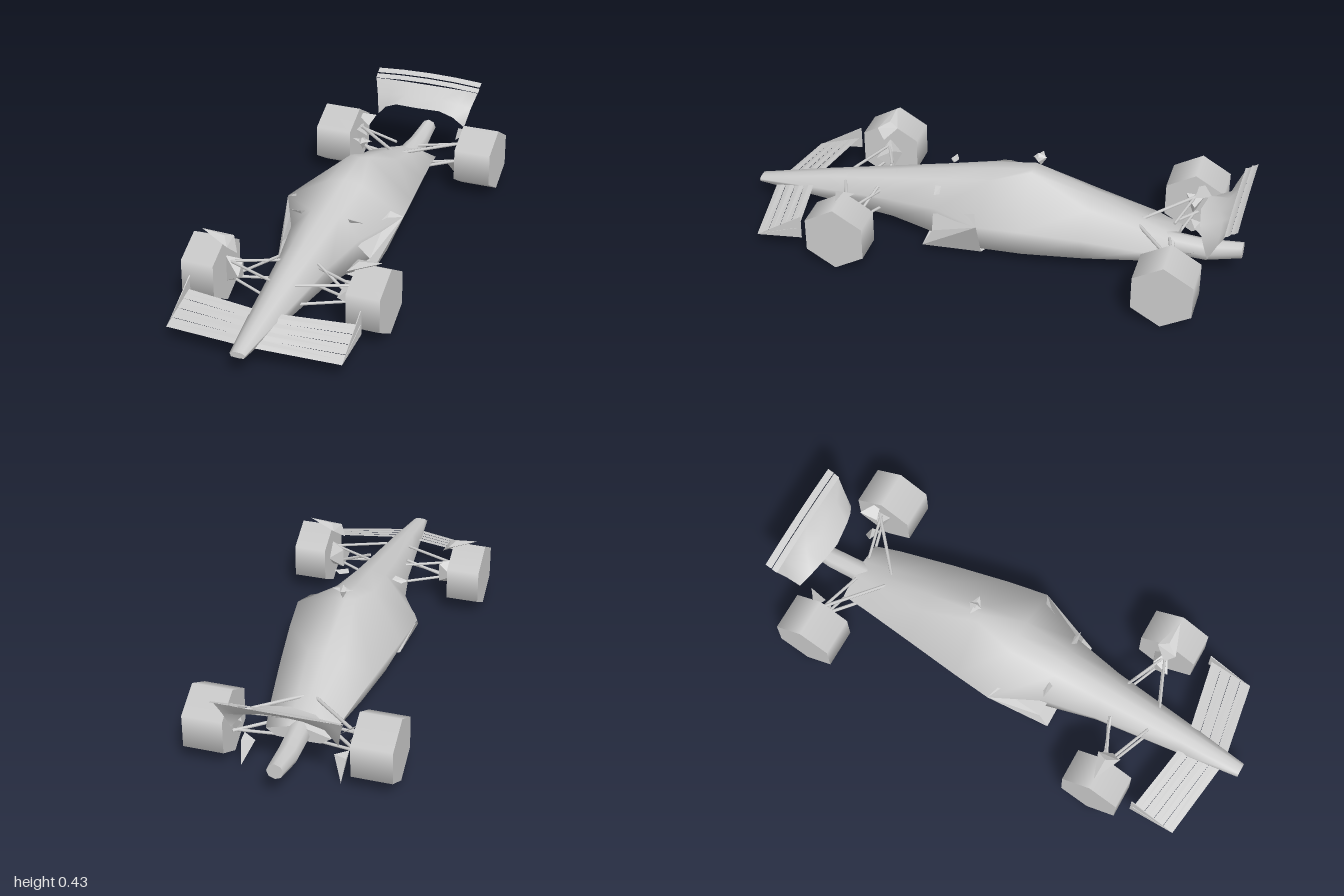
import * as THREE from 'three';
import { ConvexGeometry } from 'three/addons/geometries/ConvexGeometry.js';

const grey = new THREE.MeshStandardMaterial({ color: 0xcccccc, side: THREE.DoubleSide });
const flat = new THREE.MeshStandardMaterial({ color: 0xcccccc, side: THREE.DoubleSide, flatShading: true });

const V = (p) => new THREE.Vector3(...p);
const flip = (p) => [-p[0], p[1], p[2]];

function add(parent, name, geometry, material = grey) {
  const mesh = new THREE.Mesh(geometry, material);
  mesh.name = name;
  parent.add(mesh);
  return mesh;
}

// Surface through rows of points; closed rows wrap round and get end caps
function skin(rows, closed = false) {
  const n = rows[0].length, pos = rows.flat(2), idx = [];
  for (let i = 0; i < rows.length - 1; i++) {
    for (let j = 0; j < (closed ? n : n - 1); j++) {
      const a = i * n + j, b = i * n + (j + 1) % n, c = a + n, d = b + n;
      idx.push(a, b, c, b, d, c);
    }
  }
  if (closed) {
    for (const [row, front] of [[rows[0], true], [rows[rows.length - 1], false]]) {
      const s = pos.length / 3;
      pos.push(...row.flat());
      for (let j = 1; j < n - 1; j++) idx.push(s, s + (front ? j + 1 : j), s + (front ? j : j + 1));
    }
  }
  const g = new THREE.BufferGeometry();
  g.setAttribute('position', new THREE.Float32BufferAttribute(pos, 3));
  g.setIndex(idx);
  g.computeVertexNormals();
  return g;
}

function rod(parent, name, from, to, r = 0.006) {
  const a = V(from), b = V(to), dir = b.clone().sub(a);
  const m = add(parent, name, new THREE.CylinderGeometry(r, r, dir.length(), 6));
  m.position.copy(a).add(b).multiplyScalar(0.5);
  m.quaternion.setFromUnitVectors(new THREE.Vector3(0, 1, 0), dir.normalize());
}

// Mirrored sheet made from the half width, x from 0 outward
const mirrorRow = (row) => [...row.slice(1).reverse().map(flip), ...row];

export function createModel() {
  const car = new THREE.Group();
  car.name = 'openWheelRacer';

  // Body: z, top y, shoulder, widest point, bottom corner, bottom y
  const sections = [
    [1.0, 0.108, [0.018, 0.107], [0.03, 0.1], [0.025, 0.087], 0.085],
    [0.75, 0.168, [0.03, 0.163], [0.063, 0.13], [0.05, 0.082], 0.076],
    [0.4, 0.245, [0.05, 0.232], [0.105, 0.165], [0.08, 0.068], 0.064],
    [0.2, 0.287, [0.06, 0.272], [0.145, 0.185], [0.12, 0.05], 0.046],
    [0.0, 0.325, [0.07, 0.31], [0.247, 0.207], [0.17, 0.053], 0.05],
    [-0.16, 0.35, [0.038, 0.357], [0.225, 0.2], [0.165, 0.057], 0.055],
    [-0.4, 0.268, [0.07, 0.25], [0.185, 0.18], [0.14, 0.068], 0.066],
    [-0.63, 0.185, [0.045, 0.175], [0.145, 0.15], [0.11, 0.085], 0.08],
    [-0.74, 0.148, [0.035, 0.145], [0.125, 0.12], [0.085, 0.092], 0.09],
  ];
  add(car, 'body', skin(sections.map(([z, top, sh, wide, low, bottom]) => {
    const side = [sh, wide, low].map(([x, y]) => [x, y, z]);
    return [[0, top, z], ...side, [0, bottom, z], ...side.slice().reverse().map(flip)];
  }), true));

  // Tail pipe
  const tail = [[-0.65, 0.12, 0.045], [-0.86, 0.11, 0.042], [-1, 0.135, 0.032]];
  add(car, 'tailPipe', skin(tail.map(([z, y, r]) => Array.from({ length: 8 }, (_, k) => {
    const t = (k / 8) * Math.PI * 2;
    return [Math.sin(t) * r, y + Math.cos(t) * r, z];
  })), true));

  // Roof camera
  const cam = new THREE.Group();
  cam.name = 'roofCamera';
  car.add(cam);
  add(cam, 'cameraPod', new ConvexGeometry([
    [0, 0.375, -0.19], [0, 0.43, -0.18], [0.018, 0.412, -0.185], [-0.018, 0.412, -0.185],
    [0, 0.41, -0.16], [0, 0.415, -0.215]].map(V)), flat);
  add(cam, 'cameraWing', new ConvexGeometry([
    [0.042, 0.415, -0.19], [-0.042, 0.415, -0.19], [0, 0.413, -0.165], [0, 0.413, -0.21], [0, 0.418, -0.19]].map(V)), flat);

  // Rear wing: hollowed main plane and two arched flaps
  const rear = new THREE.Group();
  rear.name = 'rearWing';
  car.add(rear);
  add(rear, 'rearMainPlane', skin([
    [[0, 0.352, -0.96], [0.1, 0.352, -0.96], [0.18, 0.352, -0.958], [0.236, 0.35, -0.955]],
    [[0, 0.3, -0.9], [0.08, 0.31, -0.92], [0.16, 0.295, -0.925], [0.218, 0.29, -0.925]],
    [[0, 0.295, -0.825], [0.1, 0.29, -0.84], [0.155, 0.262, -0.86], [0.2, 0.21, -0.89]],
  ].map(mirrorRow)));
  for (const [y, z, depth] of [[0.353, -0.952, 0.022], [0.37, -0.975, 0.025]]) {
    const xs = [0, 0.12, 0.238];
    const edge = (dy, dz) => mirrorRow(xs.map((x) => [x, y + dy + 0.01 * (1 - (x / 0.238) ** 2), z + dz]));
    add(rear, 'rearFlap', skin([edge(0, 0), edge(0.003, -depth * 0.5), edge(0.012, -depth)]));
  }

  for (const s of [1, -1]) {
    const side = new THREE.Group();
    side.name = s > 0 ? 'leftSide' : 'rightSide';
    car.add(side);
    const M = (p) => [p[0] * s, p[1], p[2]];
    const solid = (name, pts) => add(side, name, new ConvexGeometry(pts.map((p) => V(M(p)))), flat);
    const sheet = (name, rows) => add(side, name, skin(rows.map((r) => r.map(M))), flat);
    const arm = (name, a, b, r) => rod(side, name, M(a), M(b), r);

    // Six-sided wheels, corner up
    for (const [name, x, z, width] of [['frontWheel', 0.331, 0.53, 0.132], ['rearWheel', 0.317, -0.762, 0.156]]) {
      const g = new THREE.CylinderGeometry(0.134, 0.134, width, 6, 1, false, Math.PI / 2);
      const wheel = add(side, name, g.rotateZ(Math.PI / 2));
      wheel.position.set(x * s, 0.144, z);
    }

    // Sidepod floor and flank with an open inlet
    sheet('sidepodFlank', [
      [[0.14, 0.16, 0.21], [0.185, 0.11, 0.2], [0.19, 0.037, 0.24]],
      [[0.2, 0.235, 0.02], [0.247, 0.207, 0], [0.18, 0.045, 0]],
    ]);
    sheet('sidepodFloor', [
      [[0.1, 0.045, 0.24], [0.19, 0.037, 0.24]],
      [[0.1, 0.05, -0.05], [0.18, 0.045, 0]],
    ]);

    // Mirror
    solid('mirror', [[0.09, 0.26, 0.19], [0.155, 0.258, 0.2], [0.1, 0.268, 0.21], [0.1, 0.25, 0.2], [0.13, 0.25, 0.185]]);

    // Front wing slats, swept back towards the tip
    for (let i = 0; i < 4; i++) {
      const z = 0.925 - i * 0.043, y = 0.088 + i * 0.012;
      const tipZ = 0.878 - i * 0.045, tipY = 0.066 + i * 0.016;
      sheet('frontWingSlat', [
        [[0.03, y, z], [0.345, tipY, tipZ]],
        [[0.03, y + 0.009, z - 0.02], [0.345, tipY + 0.007, tipZ - 0.02]],
        [[0.03, y + 0.013, z - 0.042], [0.345, tipY + 0.015, tipZ - 0.044]],
      ]);
    }
    solid('frontEndPlate', [[0.344, 0.062, 0.88], [0.344, 0.085, 0.688], [0.342, 0.182, 0.688], [0.34, 0.085, 0.69], [0.338, 0.18, 0.69]]);

    // Front suspension and upright
    for (const [y, innerY] of [[0.18, 0.18], [0.115, 0.1]]) {
      arm('frontWishbone', [0.25, y, 0.53], [0.05, innerY, 0.61]);
      arm('frontWishbone', [0.25, y, 0.53], [0.07, innerY, 0.45]);
    }
    arm('frontPushrod', [0.25, 0.11, 0.52], [0.08, 0.2, 0.46]);
    solid('frontUpright', [[0.2, 0.14, 0.57], [0.21, 0.18, 0.5], [0.21, 0.1, 0.5], [0.27, 0.2, 0.53], [0.27, 0.09, 0.53], [0.27, 0.14, 0.48]]);

    // Winglet over the front wheel
    solid('wheelWinglet', [[0.363, 0.297, 0.53], [0.24, 0.262, 0.575], [0.25, 0.27, 0.49], [0.215, 0.225, 0.54], [0.27, 0.285, 0.53]]);

    // Rear suspension and upright
    for (const y of [0.19, 0.11]) {
      arm('rearWishbone', [0.24, y, -0.78], [0, y - 0.005, -0.575], 0.007);
      arm('rearWishbone', [0.24, y, -0.77], [0.05, y - 0.02, -0.72]);
    }
    solid('rearUpright', [[0.245, 0.2, -0.81], [0.245, 0.2, -0.72], [0.245, 0.09, -0.76], [0.205, 0.15, -0.77]]);

    // Brake duct fins above and below the rear axle
    solid('upperDuctFin', [[0.265, 0.252, -0.78], [0.19, 0.225, -0.84], [0.235, 0.225, -0.78], [0.2, 0.2, -0.77]]);
    solid('lowerDuctFin', [[0.19, 0.005, -0.835], [0.2, 0.09, -0.8], [0.15, 0.09, -0.785], [0.2, 0.1, -0.76]]);
  }
  return car;
}
